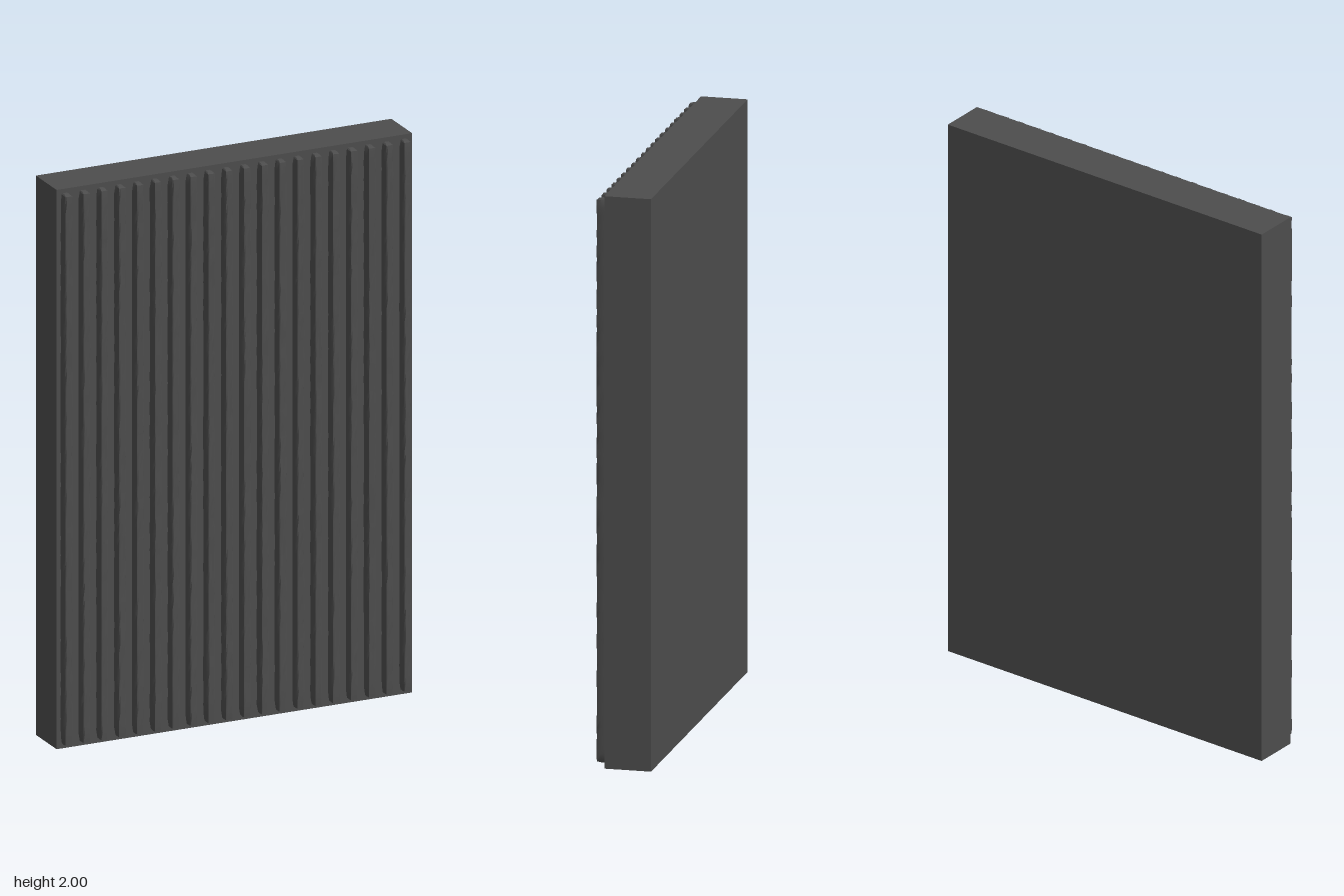
import * as THREE from 'three';
import { mergeVertices, toCreasedNormals } from 'three/addons/utils/BufferGeometryUtils.js';

const RIBS = 20, PITCH = 0.0667;
const RIB = { w: 0.034, h: 1.97, d: 0.034 };
const PANEL = { w: 1.33, h: 2, front: 0.064, back: -0.098 };

// repeatable value in -1..1 from a position
function wobble(x, y, z, seed) {
  const s = Math.sin(x * 917.1 + y * 78.233 + z * 437.7 + seed * 12.9898) * 43758.5453;
  return (s - Math.floor(s)) * 2 - 1;
}

// slim bar with softened edges and a slightly rough, grained face
function ribGeometry(seed) {
  let g = new THREE.BoxGeometry(RIB.w, RIB.h, RIB.d, 4, 64, 2);
  g.deleteAttribute('normal');
  g.deleteAttribute('uv');
  g = mergeVertices(g);
  const p = g.attributes.position;
  const hw = RIB.w / 2, hh = RIB.h / 2, hd = RIB.d / 2, soft = 0.004;
  for (let i = 0; i < p.count; i++) {
    const x = p.getX(i), y = p.getY(i), z = p.getZ(i);
    const side = Math.abs(x) > hw - 1e-4, end = Math.abs(y) > hh - 1e-4, front = z > hd - 1e-4;
    const edge = side + end + front > 1;
    const k = edge ? soft : 0;
    const n = wobble(x, y, z, seed);
    p.setXYZ(i,
      x - (side ? Math.sign(x) * (k + 0.0008 * (1 + n)) : 0),
      y - (end ? Math.sign(y) * k : 0),
      z - (front ? k * 0.5 + 0.0012 * (1 + n) : 0));
  }
  return toCreasedNormals(g, 0.6);
}

export function createModel() {
  const model = new THREE.Group();
  model.name = 'ribbedPanel';
  const charcoal = new THREE.MeshStandardMaterial({ color: 0x4d4d4d });
  charcoal.name = 'charcoal';

  // backing slab
  const depth = PANEL.front - PANEL.back;
  const slab = new THREE.Mesh(new THREE.BoxGeometry(PANEL.w, PANEL.h, depth), charcoal);
  slab.name = 'backingSlab';
  slab.position.set(0, 1, (PANEL.front + PANEL.back) / 2);
  model.add(slab);

  // evenly spaced vertical ribs on the front
  const ribs = new THREE.Group();
  ribs.name = 'ribs';
  for (let i = 0; i < RIBS; i++) {
    const rib = new THREE.Mesh(ribGeometry(i + 1), charcoal);
    rib.name = 'rib' + (i + 1);
    rib.position.set((i - (RIBS - 1) / 2) * PITCH, 1, PANEL.front + RIB.d / 2);
    ribs.add(rib);
  }
  model.add(ribs);
  return model;
}
